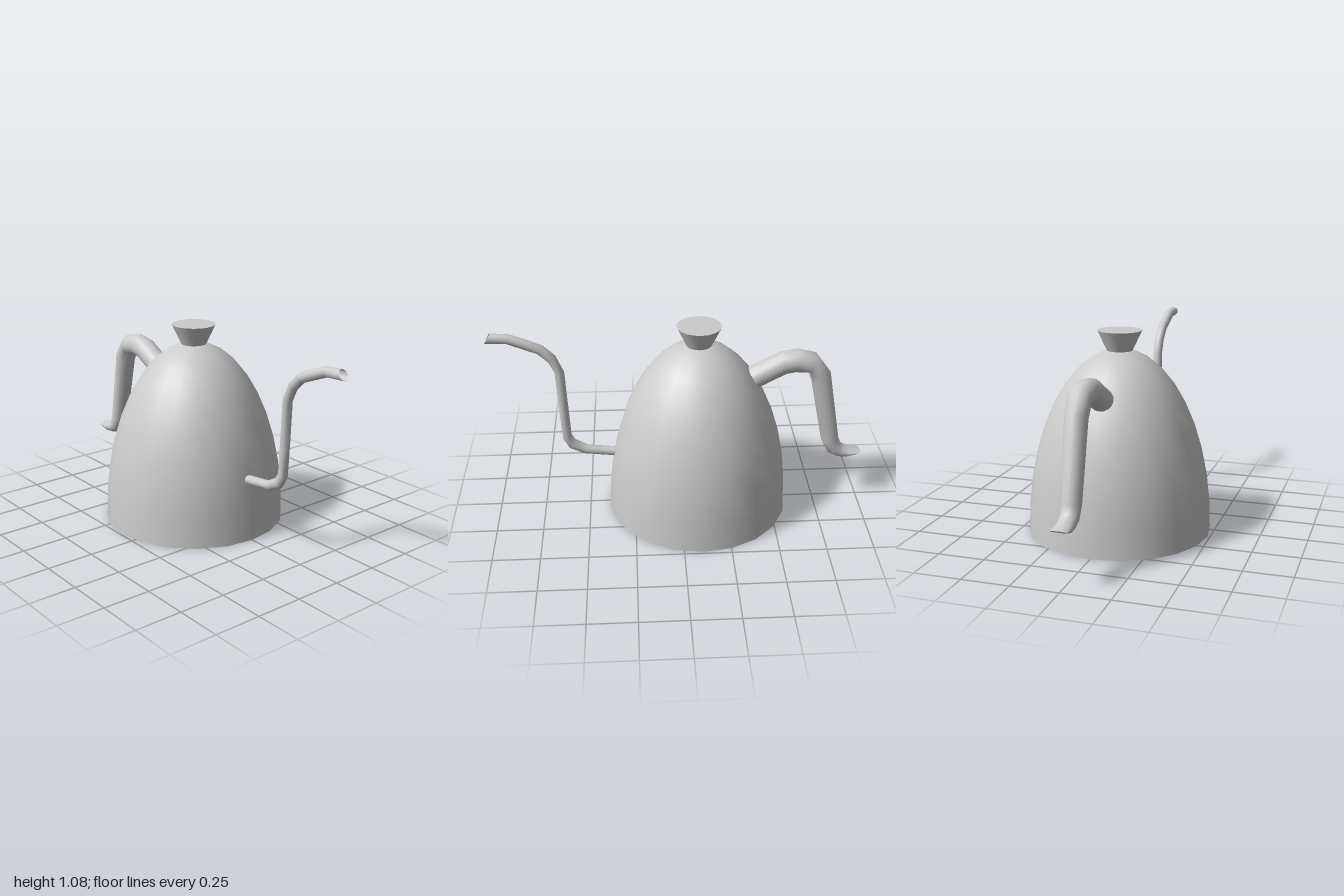
import * as THREE from 'three';
import { toCreasedNormals } from 'three/addons/utils/BufferGeometryUtils.js';

const material = new THREE.MeshStandardMaterial({ color: 0xcccccc });
const openMaterial = new THREE.MeshStandardMaterial({ color: 0xcccccc, side: THREE.DoubleSide });

function addMesh(group, name, geometry, mat = material) {
  const mesh = new THREE.Mesh(geometry, mat);
  mesh.name = name;
  group.add(mesh);
  return mesh;
}

function turned(points) {
  const profile = points.map(([r, y]) => new THREE.Vector2(r, y));
  return toCreasedNormals(new THREE.LatheGeometry(profile, 20), 0.6);
}

// Tube through elliptical sections: [outerX, outerY, innerX, innerY, halfDepth]
function bentTube(sections, sides, capped) {
  const positions = [], index = [];
  const rows = sections.length;
  for (const [ox, oy, ix, iy, depth] of sections) {
    for (let j = 0; j < sides; j++) {
      const a = (j / sides) * Math.PI * 2;
      const c = Math.cos(a) / 2;
      positions.push((ox + ix) / 2 + c * (ox - ix), (oy + iy) / 2 + c * (oy - iy), Math.sin(a) * depth);
    }
  }
  for (let s = 0; s < rows - 1; s++) {
    for (let j = 0; j < sides; j++) {
      const a = s * sides + j, b = s * sides + (j + 1) % sides;
      index.push(a, a + sides, b, b, a + sides, b + sides);
    }
  }
  // Flat end caps as triangle fans
  if (capped) {
    const last = (rows - 1) * sides;
    for (let j = 1; j < sides - 1; j++) {
      index.push(0, j, j + 1, last, last + j + 1, last + j);
    }
  }
  const geometry = new THREE.BufferGeometry();
  geometry.setAttribute('position', new THREE.Float32BufferAttribute(positions, 3));
  geometry.setIndex(index);
  return toCreasedNormals(geometry, 0.9);
}

export function createModel() {
  const kettle = new THREE.Group();
  kettle.name = 'kettle';

  // Half-ellipsoid body with a flat base
  const profile = [[0, 0]];
  for (let i = 0; i <= 10; i++) {
    const a = (i / 10) * Math.PI / 2;
    profile.push([i === 10 ? 0 : 0.488 * Math.cos(a), 0.98 * Math.sin(a)]);
  }
  addMesh(kettle, 'body', turned(profile)).position.x = -0.1;

  // Flared lid knob
  const knob = turned([[0, 0.96], [0.065, 0.965], [0.117, 1.075], [0, 1.075]]);
  addMesh(kettle, 'lidKnob', knob).position.x = -0.1;

  // Handle, thick at the body and flattened at its tip
  addMesh(kettle, 'handle', bentTube([
    [-0.32, 0.80, -0.38, 0.69, 0.062],
    [-0.36, 0.82, -0.43, 0.72, 0.062],
    [-0.53, 0.91, -0.56, 0.79, 0.062],
    [-0.62, 0.925, -0.61, 0.80, 0.062],
    [-0.72, 0.90, -0.68, 0.795, 0.061],
    [-0.80, 0.79, -0.70, 0.74, 0.057],
    [-0.875, 0.38, -0.78, 0.37, 0.05],
    [-0.89, 0.342, -0.82, 0.29, 0.048],
    [-0.91, 0.328, -0.87, 0.265, 0.046],
    [-0.94, 0.315, -0.92, 0.26, 0.045],
    [-1.0, 0.299, -0.99, 0.289, 0.042],
  ], 16, true));

  // Gooseneck spout with a slanted open mouth, traced from mouth to body
  addMesh(kettle, 'spout', bentTube([
    [0.965, 1.057, 0.998, 1.005, 0.026],
    [0.87, 1.05, 0.885, 1.0, 0.026],
    [0.785, 1.018, 0.805, 0.968, 0.026],
    [0.70, 0.98, 0.735, 0.94, 0.026],
    [0.64, 0.92, 0.682, 0.89, 0.026],
    [0.602, 0.83, 0.652, 0.825, 0.026],
    [0.592, 0.60, 0.643, 0.60, 0.026],
    [0.585, 0.445, 0.632, 0.42, 0.026],
    [0.565, 0.41, 0.60, 0.363, 0.026],
    [0.50, 0.373, 0.525, 0.327, 0.026],
    [0.36, 0.357, 0.36, 0.308, 0.026],
    [0.34, 0.355, 0.34, 0.306, 0.026],
  ], 12, false), openMaterial);

  return kettle;
}
